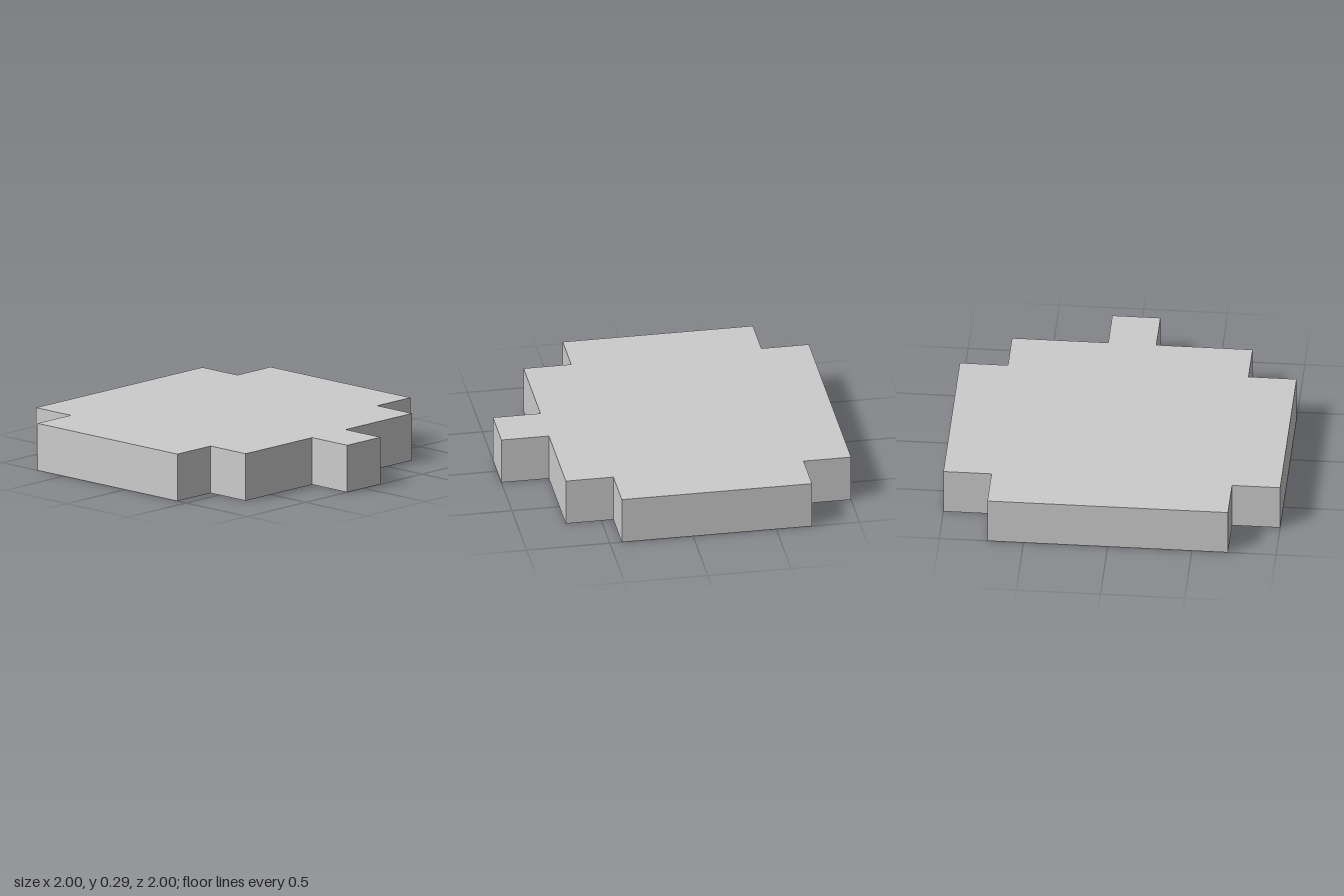
import * as THREE from 'three';

// The outline sits on a grid seven cells wide
const CELL = 2 / 7;

export function createModel() {
  const group = new THREE.Group();
  group.name = 'steppedSlab';

  // Half of the plan outline in cells, from the side tab round to the left edge
  const half = [
    [3.5, 0.5], [2.5, 0.5], [2.5, 2.5], [1.5, 2.5],
    [1.5, 3.5], [-2.5, 3.5], [-2.5, 2.5], [-3.5, 2.5],
  ];
  // Mirror it front to back to close the outline
  const mirrored = half.map(([x, z]) => [x, -z]).reverse();
  const outline = [...half, ...mirrored].map(
    ([x, z]) => new THREE.Vector2(x * CELL, z * CELL)
  );

  // Slab one cell thick, laid flat on the ground
  const geometry = new THREE.ExtrudeGeometry(new THREE.Shape(outline), {
    depth: CELL,
    bevelEnabled: false,
  });
  geometry.rotateX(-Math.PI / 2);

  const slab = new THREE.Mesh(
    geometry,
    new THREE.MeshStandardMaterial({ color: 0xcccccc, flatShading: true })
  );
  slab.name = 'slab';
  group.add(slab);
  return group;
}
